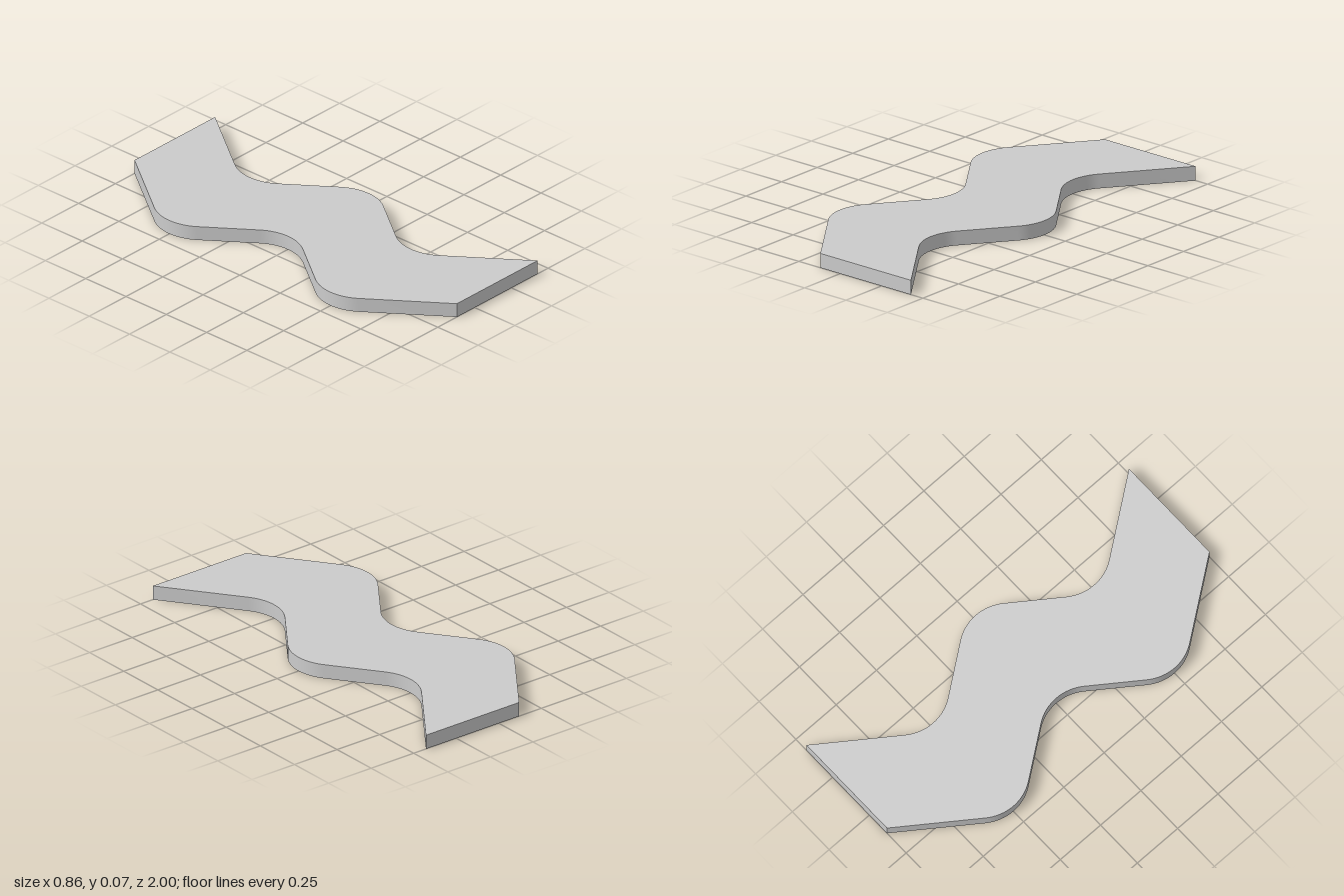
import * as THREE from 'three';
import { toCreasedNormals } from 'three/addons/utils/BufferGeometryUtils.js';

const WIDTH = 0.548, HEIGHT = 0.07, END_X = -0.12;
const SLOPE = 0.73, RADIUS = 0.227, ARC_STEPS = 16;

// One zigzag edge running from back to front, with rounded bends
function wavyEdge() {
  const theta = Math.atan(SLOPE);
  const points = [new THREE.Vector2(END_X, -1)];
  for (const [z, side] of [[-0.5, -1], [0, 1], [0.5, -1]]) {
    const corner = side < 0 ? END_X - 0.5 * SLOPE : END_X;
    const centre = corner - side * RADIUS / Math.cos(theta);
    for (let i = 0; i <= ARC_STEPS; i++) {
      const a = theta * (2 * i / ARC_STEPS - 1);
      points.push(new THREE.Vector2(centre + side * RADIUS * Math.cos(a), z + RADIUS * Math.sin(a)));
    }
  }
  points.push(new THREE.Vector2(END_X, 1));
  return points;
}

export function createModel() {
  const group = new THREE.Group();
  group.name = 'wavyPlate';

  // Outline: the left edge and the same edge shifted across the width
  const edge = wavyEdge();
  const opposite = edge.map(p => new THREE.Vector2(p.x + WIDTH, p.y)).reverse();
  const outline = new THREE.Shape([...edge, ...opposite]);

  // Flat slab laid on the ground, smooth around the bends and sharp at the rims
  const slab = new THREE.ExtrudeGeometry(outline, { depth: HEIGHT, bevelEnabled: false });
  slab.rotateX(Math.PI / 2).translate(0, HEIGHT, 0);
  const plate = new THREE.Mesh(
    toCreasedNormals(slab, 0.5),
    new THREE.MeshStandardMaterial({ color: 0xcccccc })
  );
  plate.name = 'plate';
  group.add(plate);
  return group;
}
